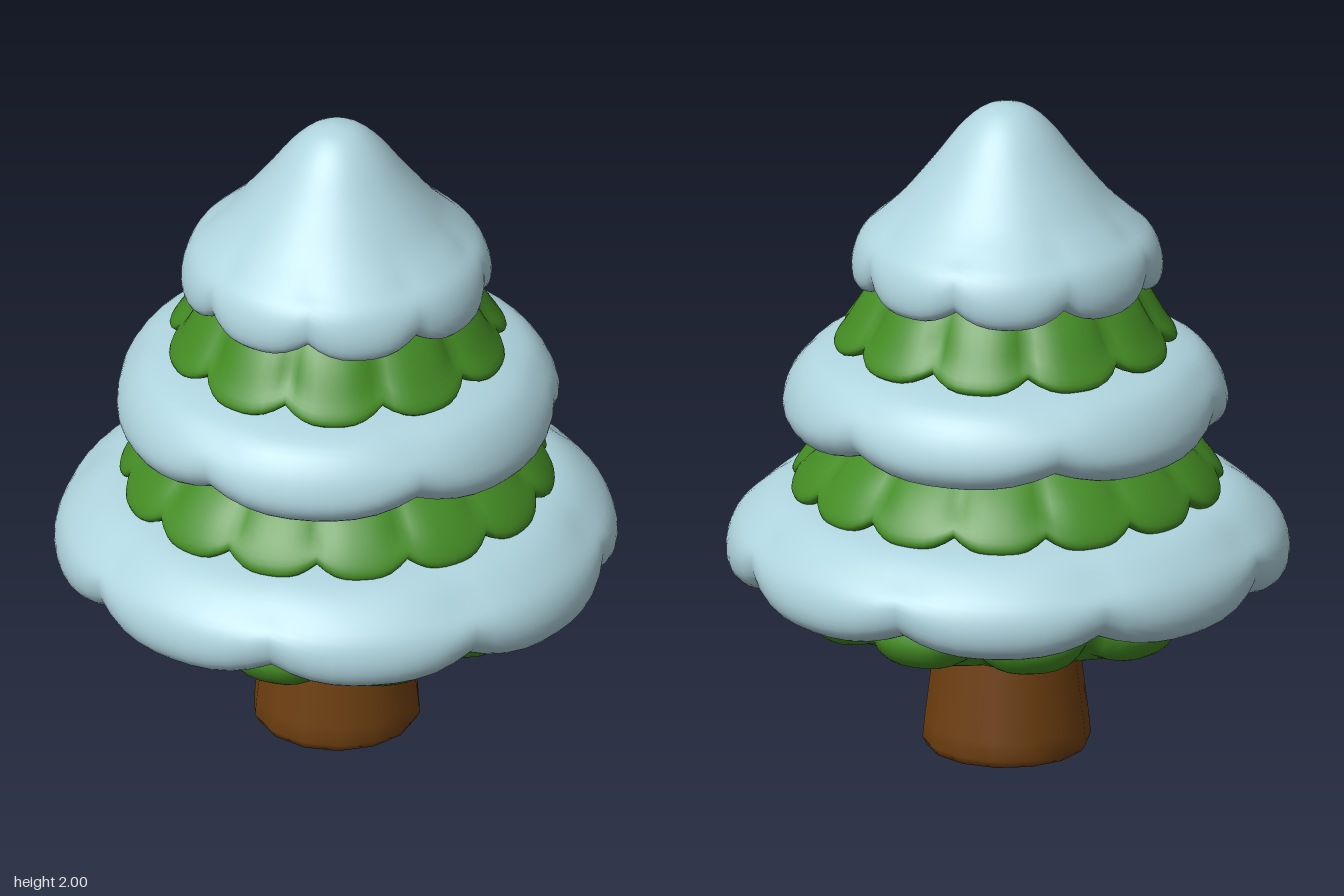
import * as THREE from 'three';
import { mergeVertices } from 'three/addons/utils/BufferGeometryUtils.js';

const material = (name, color) => new THREE.MeshStandardMaterial({ name, color });

// Smooth lathe whose rim is scalloped into lobes: between lobes the rim
// is drawn in by `inset` and its lower edge is raised by `lift`.
function scallopedTier({ profile, lobes, inset, lift, phase = 0 }) {
  const raw = profile.map(([r, y]) => new THREE.Vector2(r, y));
  const points = new THREE.SplineCurve(raw).getPoints(profile.length * 3);
  points.forEach((p) => { p.x = Math.max(p.x, 0); });
  const maxR = Math.max(...raw.map((p) => p.x));
  const rim = raw.find((p) => p.x === maxR);
  const lathe = new THREE.LatheGeometry(points, lobes * 10);
  const pos = lathe.attributes.position;
  for (let i = 0; i < pos.count; i++) {
    const x = pos.getX(i), y = pos.getY(i), z = pos.getZ(i);
    const r = Math.hypot(x, z);
    const angle = Math.atan2(x, z);
    const gap = (1 - Math.abs(Math.cos(lobes * angle / 2))) ** 1.5;
    const outer = THREE.MathUtils.smoothstep(r / maxR, 0.55, 0.95);
    const low = 1 - THREE.MathUtils.smoothstep(y, rim.y - 0.02, rim.y + 0.13);
    const wobble = 1 + 0.006 * Math.sin(3 * angle + lobes) * outer;
    const scale = (1 - inset * gap * outer) * wobble;
    pos.setXYZ(i, x * scale, y + lift * gap * outer * low, z * scale);
  }
  lathe.deleteAttribute('uv');
  lathe.deleteAttribute('normal');
  const geometry = mergeVertices(lathe, 1e-4);
  geometry.rotateY(phase);
  geometry.computeVertexNormals();
  return geometry;
}

export function createModel() {
  const tree = new THREE.Group();
  tree.name = 'snowyTree';
  const snow = material('snow', 0xb0d5df);
  const needles = material('needles', 0x448c24);
  const bark = material('bark', 0x6e3f10);

  const add = (name, geometry, mat) => {
    const mesh = new THREE.Mesh(geometry, mat);
    mesh.name = name;
    tree.add(mesh);
  };

  // Tapered trunk with a small bevel at the foot
  const trunkProfile = [[0, 0], [0.235, 0], [0.25, 0.025], [0.245, 0.08], [0.205, 0.4]];
  const trunk = new THREE.LatheGeometry(trunkProfile.map(([r, y]) => new THREE.Vector2(r, y)), 14);
  add('trunk', trunk, bark);

  // Green branch tiers, bottom to top
  add('lowerBranches', scallopedTier({
    profile: [[0, 0.35], [0.2, 0.35], [0.4, 0.37], [0.5, 0.4], [0.58, 0.41], [0.625, 0.45],
      [0.635, 0.51], [0.57, 0.6], [0.3, 0.66]],
    lobes: 10, inset: 0.1, lift: 0.05,
  }), needles);
  add('middleBranches', scallopedTier({
    profile: [[0.35, 0.86], [0.55, 0.82], [0.62, 0.8], [0.645, 0.82], [0.62, 0.87],
      [0.56, 0.94], [0.47, 1.02], [0.38, 1.12]],
    lobes: 14, inset: 0.045, lift: 0.04, phase: 0.1,
  }), needles);
  add('upperBranches', scallopedTier({
    profile: [[0.25, 1.32], [0.42, 1.27], [0.485, 1.25], [0.51, 1.27], [0.475, 1.33],
      [0.42, 1.42], [0.35, 1.5], [0.25, 1.58]],
    lobes: 10, inset: 0.08, lift: 0.04, phase: Math.PI / 2,
  }), needles);

  // Puffy snow skirts
  add('lowerSnow', scallopedTier({
    profile: [[0.45, 0.6], [0.6, 0.56], [0.7, 0.525], [0.77, 0.525], [0.82, 0.56], [0.835, 0.62],
      [0.815, 0.69], [0.76, 0.75], [0.69, 0.795], [0.6, 0.815], [0.4, 0.84]],
    lobes: 8, inset: 0.025, lift: 0.05,
  }), snow);
  add('middleSnow', scallopedTier({
    profile: [[0.35, 1.08], [0.47, 1.03], [0.56, 0.995], [0.62, 1.0], [0.655, 1.04], [0.66, 1.09],
      [0.635, 1.16], [0.585, 1.22], [0.51, 1.25], [0.42, 1.265], [0.3, 1.28]],
    lobes: 6, inset: 0.025, lift: 0.045,
  }), snow);

  // Snow cap with a rounded tip
  add('snowCap', scallopedTier({
    profile: [[0.25, 1.52], [0.36, 1.46], [0.42, 1.435], [0.455, 1.46], [0.46, 1.52], [0.435, 1.59],
      [0.38, 1.645], [0.31, 1.71], [0.22, 1.82], [0.14, 1.925], [0.07, 1.985], [0, 2]],
    lobes: 8, inset: 0.035, lift: 0.045, phase: 0.05,
  }), snow);

  return tree;
}
